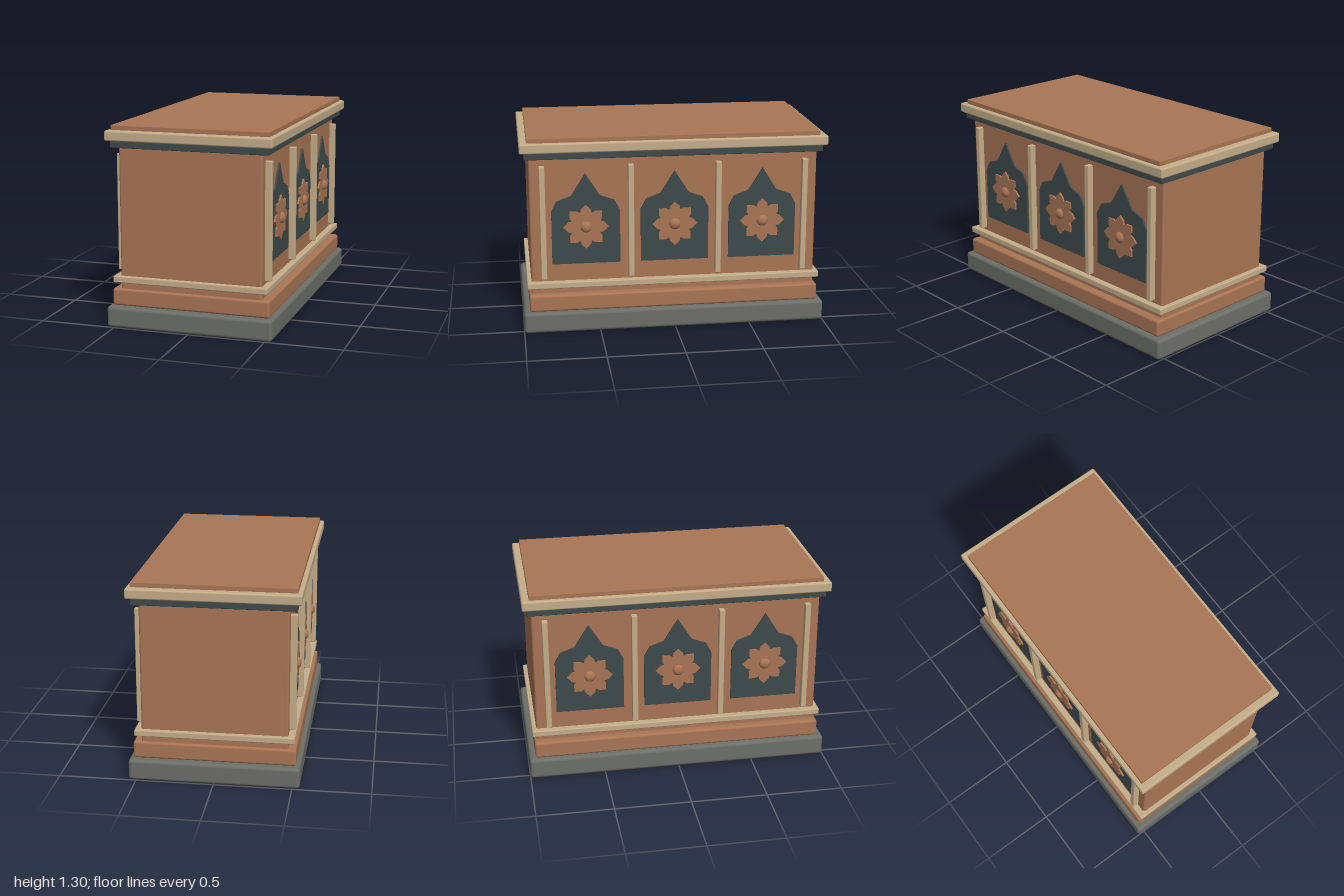
import * as THREE from 'three';
import { RoundedBoxGeometry } from 'three/addons/geometries/RoundedBoxGeometry.js';

function material(name, color) {
  const m = new THREE.MeshStandardMaterial({ color });
  m.name = name;
  return m;
}

export function createModel() {
  const wood = material('wood', 0xa87555);
  const cream = material('cream trim', 0xc4ad8a);
  const slate = material('dark slate', 0x3f4a4b);
  const stone = material('grey stone', 0x6c6e67);
  const chest = new THREE.Group();
  chest.name = 'chest';

  function add(parent, name, geometry, mat, x = 0, y = 0, z = 0) {
    const mesh = new THREE.Mesh(geometry, mat);
    mesh.name = name;
    mesh.position.set(x, y, z);
    parent.add(mesh);
    return mesh;
  }

  // Stacked tiers: name, material, half width, half depth, bottom, top, edge radius
  const tiers = [
    ['base', stone, 0.548, 1.0, 0, 0.138, 0.022],
    ['plinth', wood, 0.52, 0.96, 0.138, 0.25, 0.016],
    ['body', wood, 0.468, 0.944, 0.2, 1.19, 0.014],
    ['lowerRail', cream, 0.51, 0.972, 0.292, 0.334, 0.007],
    ['darkBand', slate, 0.515, 0.972, 1.16, 1.21, 0.005],
    ['cornice', cream, 0.543, 1.0, 1.205, 1.27, 0.011],
    ['lid', wood, 0.515, 0.952, 1.25, 1.3, 0.003],
  ];
  for (const [name, mat, hx, hz, y0, y1, r] of tiers) {
    const geo = new RoundedBoxGeometry(hx * 2, y1 - y0, hz * 2, 3, r);
    add(chest, name, geo, mat, 0, (y0 + y1) / 2, 0);
  }

  // Pointed niche outline, drawn around its own centre line
  const half = [[0.223, 0.45], [0.223, 0.805], [0.187, 0.873], [0.093, 0.907]];
  const outline = [
    ...half, [0, 1.055],
    ...half.slice().reverse().map(([x, y]) => [-x, y]),
  ];
  const nicheShape = new THREE.Shape(outline.map(([x, y]) => new THREE.Vector2(x, y)));
  const nicheGeo = new THREE.ExtrudeGeometry(nicheShape, { depth: 0.02, bevelEnabled: false });

  // Eight-petalled rosette
  const petals = [];
  const profile = [[0, 0.148], [0.1, 0.137], [0.2, 0.129], [0.34, 0.121], [0.42, 0.108],
    [0.5, 0.1], [0.58, 0.108], [0.66, 0.121], [0.8, 0.129], [0.9, 0.137]];
  for (let i = 0; i < 8; i++) {
    for (const [t, r] of profile) {
      const a = (i + t) * Math.PI / 4;
      petals.push(new THREE.Vector2(Math.cos(a) * r, Math.sin(a) * r));
    }
  }
  const rosetteGeo = new THREE.ExtrudeGeometry(new THREE.Shape(petals), { depth: 0.014, bevelEnabled: false });
  const bossGeo = new THREE.SphereGeometry(0.037, 24, 16);
  const postGeo = new RoundedBoxGeometry(0.037, 0.755, 0.05, 2, 0.005);

  // Both long sides carry the same decoration, built facing +z and turned outward
  for (const side of [1, -1]) {
    const panel = new THREE.Group();
    panel.name = side > 0 ? 'leftDecoration' : 'rightDecoration';
    panel.rotation.y = side * Math.PI / 2;
    chest.add(panel);
    for (const u of [-0.86, -0.287, 0.287, 0.86]) {
      add(panel, 'post', postGeo, cream, u, 0.7325, 0.484);
    }
    for (const u of [-0.582, 0, 0.582]) {
      add(panel, 'niche', nicheGeo, slate, u, 0, 0.46);
      add(panel, 'rosette', rosetteGeo, wood, u, 0.7, 0.478);
      add(panel, 'rosetteBoss', bossGeo, wood, u, 0.7, 0.491).scale.z = 0.65;
    }
  }
  return chest;
}
